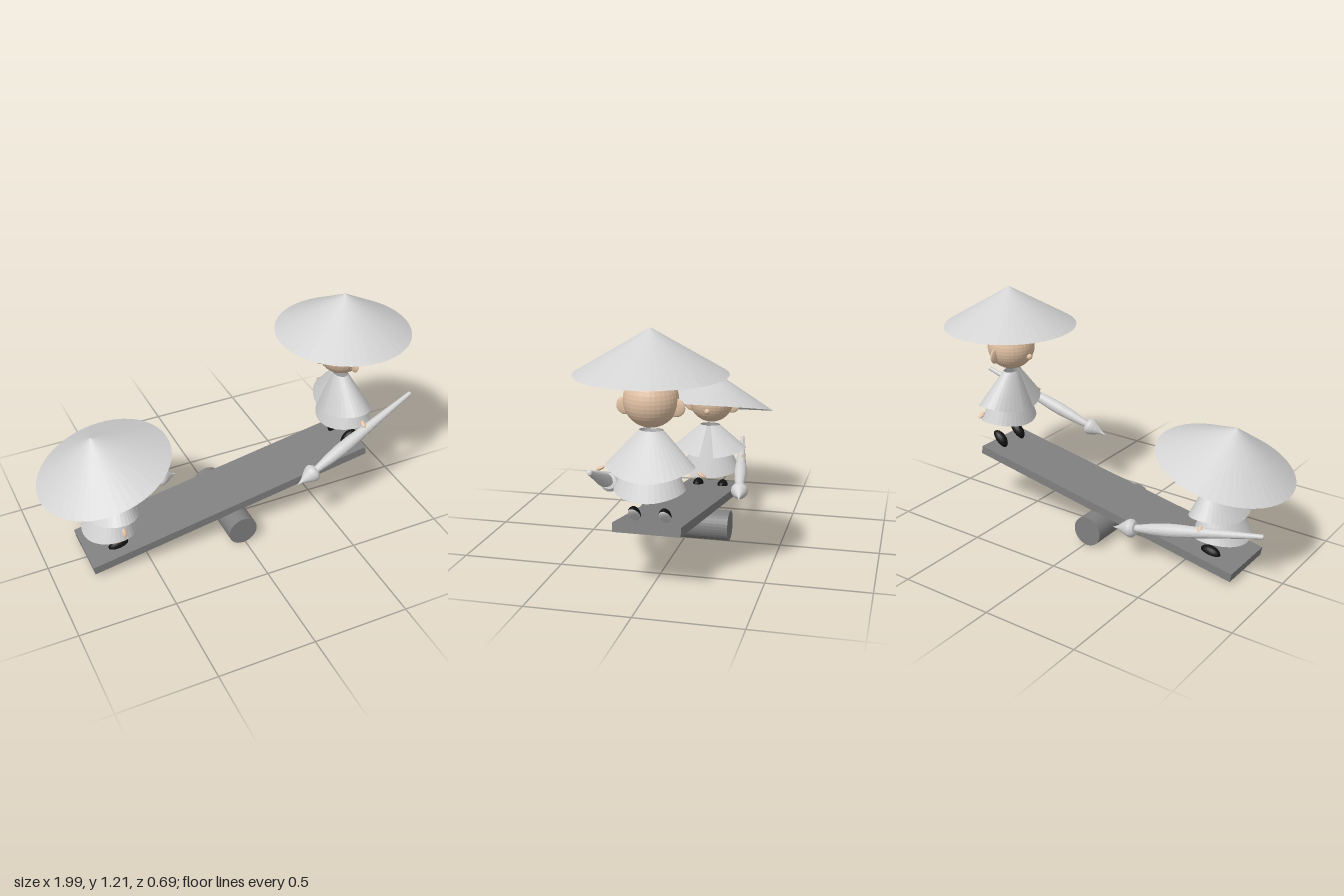
import * as THREE from 'three';

const cloth = new THREE.MeshStandardMaterial({ name: 'pale grey', color: 0xd2d2d2, side: THREE.DoubleSide });
const timber = new THREE.MeshStandardMaterial({ name: 'mid grey', color: 0x808080 });
const skin = new THREE.MeshStandardMaterial({ name: 'skin', color: 0xe2c2a4 });
const black = new THREE.MeshStandardMaterial({ name: 'black', color: 0x101010 });

// Adds a named mesh with faceted normals
function add(parent, name, geometry, material, x = 0, y = 0, z = 0) {
  const faceted = geometry.index ? geometry.toNonIndexed() : geometry;
  faceted.computeVertexNormals();
  const mesh = new THREE.Mesh(faceted, material);
  mesh.name = name;
  mesh.position.set(x, y, z);
  parent.add(mesh);
  return mesh;
}

const ellipsoid = (rx, ry, rz) => new THREE.SphereGeometry(1, 20, 12).scale(rx, ry, rz);

// Flared cloth whose hem hangs lower at front and back than at the sides.
// front and side are [top radius, hem radius, drop]; gap opens it at the front.
function robeGeometry(front, side, gap) {
  const g = new THREE.CylinderGeometry(1, 1, 1, 36, 4, true, Math.PI / 2 + gap, Math.PI * 2 - gap * 2);
  const p = g.attributes.position;
  for (let i = 0; i < p.count; i++) {
    const t = 0.5 - p.getY(i), x = p.getX(i), z = p.getZ(i);
    const drop = THREE.MathUtils.lerp(front[2], side[2], z * z) * t;
    const rx = THREE.MathUtils.lerp(front[0], front[1], t);
    const rz = THREE.MathUtils.lerp(side[0], side[1], t);
    p.setXYZ(i, x * rx - drop * 0.13, -drop, z * rz);
  }
  return g;
}

// Long brush: tapered handle and a pointed bristle bulb, from tail to tip
function addBrush(parent, tail, tip) {
  const brush = new THREE.Group();
  brush.name = 'brush';
  const from = new THREE.Vector3(...tail);
  const direction = new THREE.Vector3(...tip).sub(from).normalize();
  brush.position.copy(from);
  brush.quaternion.setFromUnitVectors(new THREE.Vector3(0, 1, 0), direction);
  const lathe = pts => new THREE.LatheGeometry(pts.map(q => new THREE.Vector2(...q)), 24);
  add(brush, 'brushHandle', lathe([[0, 0], [0.011, 0.004], [0.015, 0.1], [0.024, 0.28],
    [0.033, 0.43], [0.034, 0.49], [0.029, 0.57], [0.019, 0.65], [0.016, 0.67]]), cloth);
  add(brush, 'brushBristles', lathe([[0.012, 0.66], [0.034, 0.664], [0.045, 0.678], [0.046, 0.69],
    [0.041, 0.705], [0.027, 0.73], [0.011, 0.755], [0, 0.787]]), cloth);
  parent.add(brush);
}

// One rider facing +x
function createRider(o) {
  const rider = new THREE.Group();
  rider.name = o.name;

  // Head
  const [hx, hy] = o.head;
  add(rider, 'head', new THREE.SphereGeometry(0.125, 32, 20), skin, hx, hy, 0);
  add(rider, 'nose', ellipsoid(0.018, 0.016, 0.016), skin, hx + 0.121, hy - 0.042, 0);
  for (const s of [-1, 1]) add(rider, 'ear', ellipsoid(0.011, 0.042, 0.042), skin, hx - 0.008, hy - 0.03, s * 0.116);

  // Hollow conical hat
  const hat = add(rider, 'hat', new THREE.ConeGeometry(0.347, 0.206, 48, 1, true).translate(0, 0.103, 0), cloth, o.hat[0], o.hat[1], 0);
  hat.rotation.z = o.hatTilt;

  // Robe
  const [bx, by] = o.neck;
  const f = o.capeScale;
  add(rider, 'cape', robeGeometry([0.038, 0.132, 0.207 * f], [0.055, 0.205, 0.16 * f], 0.2), cloth, bx, by, 0);
  add(rider, 'skirt', robeGeometry([0.033, 0.138, 0.288], [0.05, 0.165, 0.262], 0), cloth, bx, by - 0.003, 0);

  // Hands and feet
  for (const s of [-1, 1]) {
    const hand = add(rider, 'hand', ellipsoid(0.012, 0.023, 0.008), skin, o.hand[0], o.hand[1], s * o.hand[2]);
    hand.rotation.x = -s * o.handTilt;
    const foot = new THREE.Group();
    foot.name = 'foot';
    foot.position.set(o.foot[0], o.foot[1], s * 0.072);
    foot.rotation.z = o.footTilt;
    const half = start => new THREE.SphereGeometry(1, 24, 8, 0, Math.PI * 2, start, Math.PI / 2);
    add(foot, 'shoe', half(0).scale(0.054, 0.035, 0.029), black);
    add(foot, 'sole', half(Math.PI / 2).scale(0.052, 0.012, 0.027), cloth);
    rider.add(foot);
  }

  addBrush(rider, o.tail, o.tip);
  return rider;
}

export function createModel() {
  const model = new THREE.Group();
  model.name = 'seesaw';

  // Tilted plank on a roller
  const plank = add(model, 'plank', new THREE.BoxGeometry(1.573, 0.044, 0.318), timber, -0.027, 0.174, 0);
  plank.rotation.z = 0.173;
  add(model, 'roller', new THREE.CylinderGeometry(0.078, 0.078, 0.472, 32).rotateX(Math.PI / 2), timber, -0.013, 0.078, 0);

  // Rider at the low end
  const low = createRider({
    name: 'lowRider', head: [-0.015, 0.585], hat: [-0.013, 0.543], hatTilt: 0.258,
    neck: [0.025, 0.452], capeScale: 0.83,
    hand: [0.01, 0.262, 0.19], handTilt: 0.5, foot: [0.01, 0.087], footTilt: 0.17,
    tail: [-0.3, 0.297, -0.13], tip: [0.465, 0.165, -0.25],
  });
  low.position.x = -0.65;
  model.add(low);

  // Rider tossed up at the high end, facing the other one
  const high = createRider({
    name: 'highRider', head: [0, 0.885], hat: [0, 1.0], hatTilt: 0,
    neck: [0, 0.747], capeScale: 1,
    hand: [-0.02, 0.557, 0.235], handTilt: 1.1, foot: [-0.042, 0.355], footTilt: -0.8,
    tail: [-0.33, 0.633, -0.183], tip: [0.398, 0.348, -0.31],
  });
  high.position.x = 0.648;
  high.rotation.y = Math.PI;
  model.add(high);

  return model;
}
